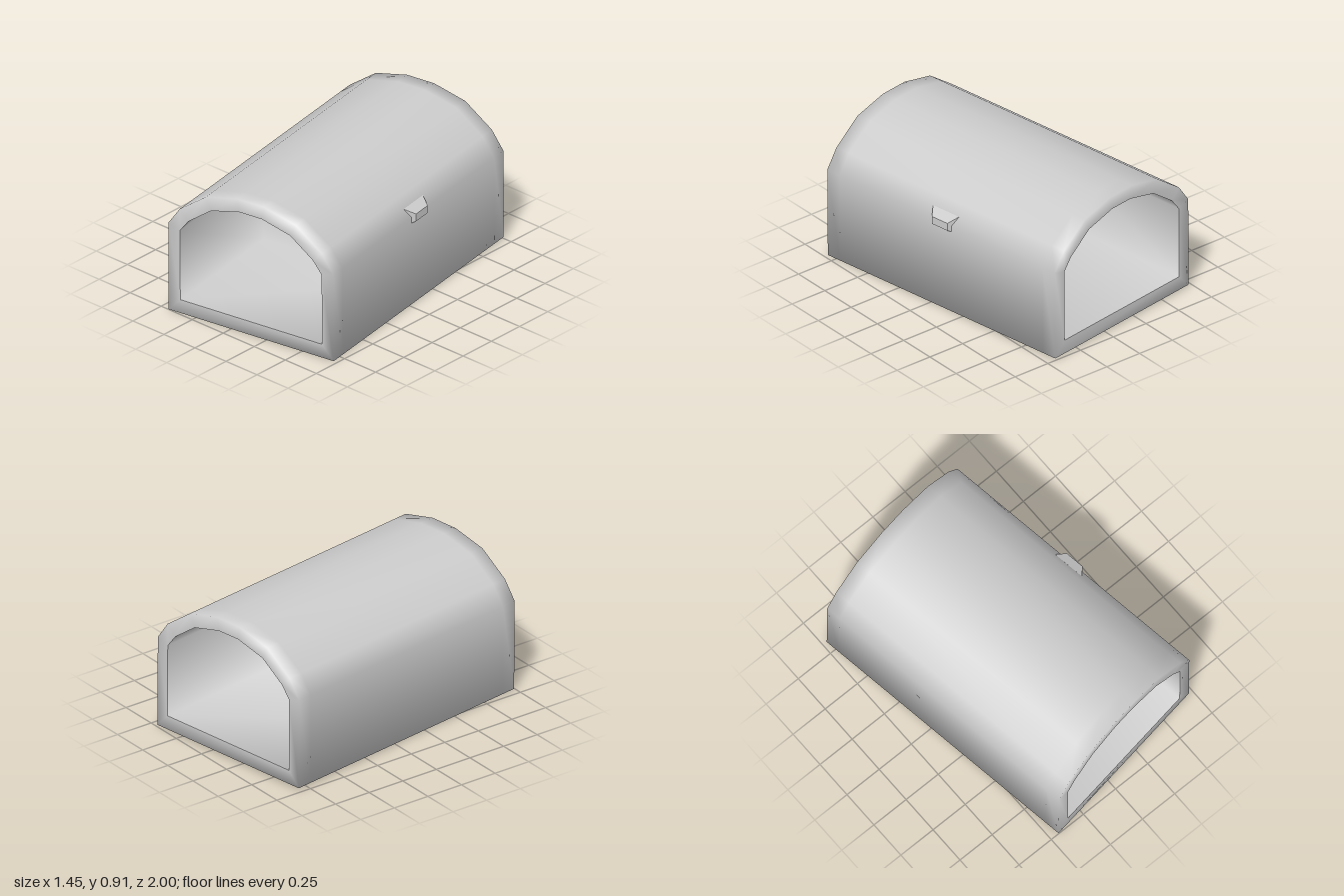
import * as THREE from 'three';
import { ConvexGeometry } from 'three/addons/geometries/ConvexGeometry.js';

const HALF = 0.918;   // half the length of the vault
const DEPTH = 0.9;    // depth of the chamber at each end, leaving a thin wall between

// Symmetric arch section, counter-clockwise, from its right half (bottom to top)
const section = (half) => [
  ...half,
  ...half.slice().reverse().map(([x, y]) => [-x, y]),
];
const outer = section([[0.589, 0], [0.589, 0.588], [0.508, 0.705], [0.32, 0.843], [0.096, 0.897]]);
const inner = section([[0.506, 0.09], [0.506, 0.56], [0.445, 0.64], [0.283, 0.76], [0.08, 0.812]]);

// Skin through successive [section, z] loops, optionally closing the last one
function loft(loops, cap = false) {
  const n = loops[0][0].length;
  const pos = [], idx = [];
  for (const [pts, z] of loops) for (const [x, y] of pts) pos.push(x, y, z);
  for (let j = 0; j < loops.length - 1; j++) {
    for (let i = 0; i < n; i++) {
      const a = j * n + i, b = j * n + (i + 1) % n;
      idx.push(a, b, b + n, a, b + n, a + n);
    }
  }
  if (cap) {
    const s = (loops.length - 1) * n;
    for (let i = 1; i < n - 1; i++) idx.push(s, s + i, s + i + 1);
  }
  const geo = new THREE.BufferGeometry();
  geo.setAttribute('position', new THREE.Float32BufferAttribute(pos, 3));
  geo.setIndex(idx);
  geo.computeVertexNormals();
  return geo;
}

export function createModel() {
  const group = new THREE.Group();
  group.name = 'archedVault';
  const vault = new THREE.Group();
  vault.name = 'vault';
  const material = new THREE.MeshStandardMaterial({ color: 0xcccccc });
  const add = (name, geo) => {
    const mesh = new THREE.Mesh(geo, material);
    mesh.name = name;
    vault.add(mesh);
    return mesh;
  };

  // Outer shell with the rim at both ends; extra loops keep the rounding near the ends
  const bend = HALF - 0.1;
  add('shell', loft([
    [inner, -HALF], [outer, -HALF], [outer, -bend],
    [outer, bend], [outer, HALF], [inner, HALF],
  ]));

  // Deep chambers open at each end
  const chamber = loft([[inner, HALF], [inner, HALF - DEPTH]], true);
  add('frontChamber', chamber);
  add('backChamber', chamber).rotation.y = Math.PI;

  // Small soft knob on the left wall, just at the spring of the arch
  const knob = [];
  for (const [x, y0, y1, z0, z1] of [[0.55, 0.53, 0.645, -0.11, 0.1], [0.61, 0.56, 0.61, -0.07, 0.055]]) {
    for (const y of [y0, y1]) for (const z of [z0, z1]) knob.push(new THREE.Vector3(x, y, z));
  }
  add('sideKnob', new ConvexGeometry(knob));

  // The vault stands turned, with its back end slightly raised
  vault.rotation.set(0.0065, 0.154, 0, 'YXZ');
  vault.position.y = 0.006;
  group.add(vault);
  return group;
}
